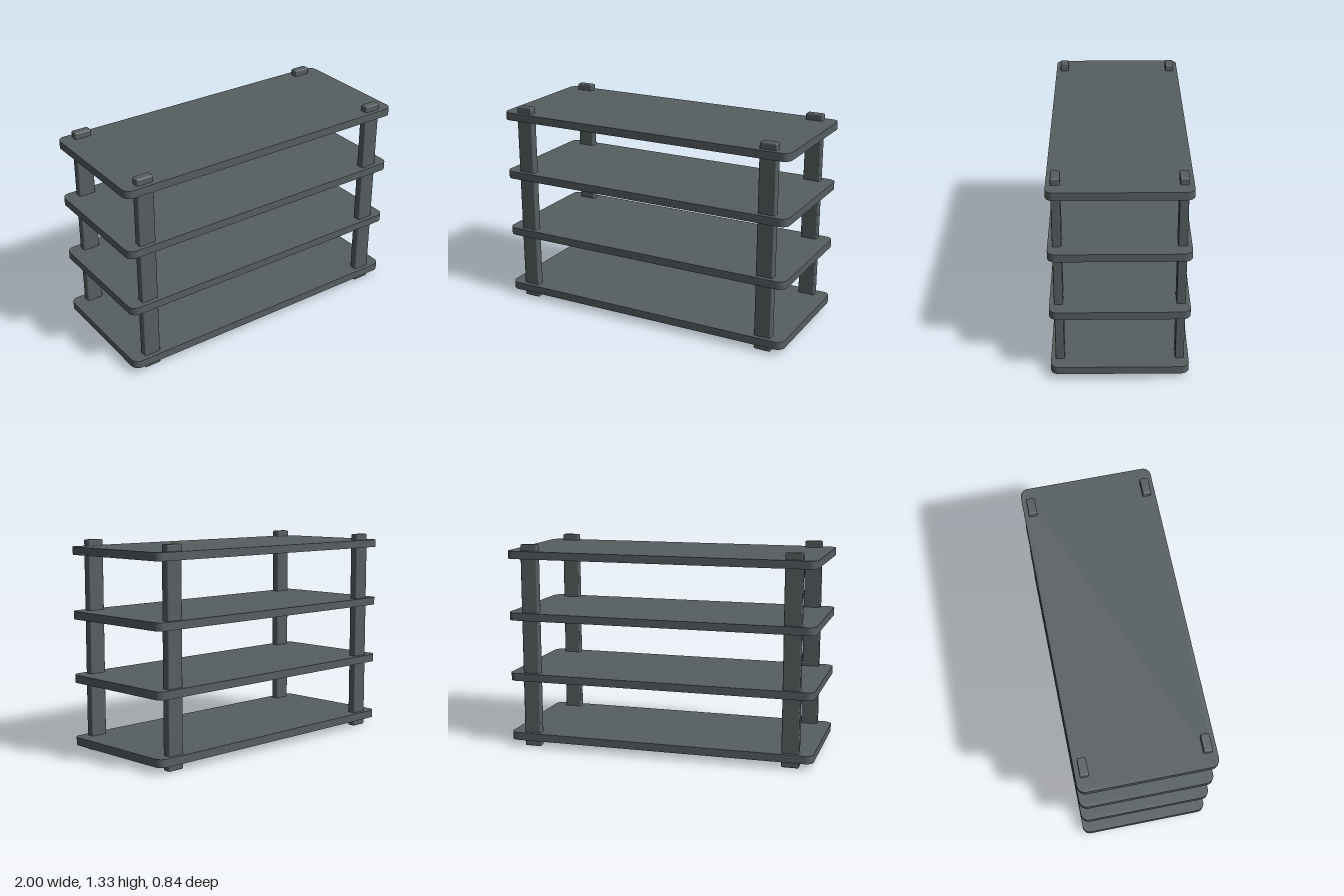
import * as THREE from 'three';
import { RoundedBoxGeometry } from 'three/addons/geometries/RoundedBoxGeometry.js';
import { toCreasedNormals } from 'three/addons/utils/BufferGeometryUtils.js';

const WIDTH = 2, DEPTH = 0.84, THICKNESS = 0.05, CORNER = 0.05;
const POST = { width: 0.11, height: 1.33, depth: 0.054, x: 0.856, z: 0.365 };

// Flat board with rounded corners in plan, its underside at y = 0
function shelfGeometry() {
  const x = WIDTH / 2, z = DEPTH / 2, r = CORNER;
  const outline = new THREE.Shape();
  outline.absarc(x - r, z - r, r, 0, Math.PI / 2);
  outline.absarc(-x + r, z - r, r, Math.PI / 2, Math.PI);
  outline.absarc(-x + r, -z + r, r, Math.PI, Math.PI * 1.5);
  outline.absarc(x - r, -z + r, r, Math.PI * 1.5, Math.PI * 2);
  outline.closePath();
  const board = new THREE.ExtrudeGeometry(outline, {
    depth: THICKNESS, bevelEnabled: false, curveSegments: 8,
  });
  board.rotateX(-Math.PI / 2);
  return toCreasedNormals(board, Math.PI / 6);
}

export function createModel() {
  const model = new THREE.Group();
  model.name = 'shelfUnit';
  const slate = new THREE.MeshStandardMaterial({ color: 0x565e61 });
  slate.name = 'slateGrey';

  // Four evenly spaced shelves
  const board = shelfGeometry();
  for (let i = 0; i < 4; i++) {
    const shelf = new THREE.Mesh(board, slate);
    shelf.name = `shelf${i + 1}`;
    shelf.position.y = 0.042 + i * 0.399;
    model.add(shelf);
  }

  // Four corner posts with softened edges, passing through every shelf
  const postGeometry = new RoundedBoxGeometry(POST.width, POST.height, POST.depth, 2, 0.008);
  for (const [side, sx] of [['Left', 1], ['Right', -1]]) {
    for (const [end, sz] of [['front', 1], ['back', -1]]) {
      const post = new THREE.Mesh(postGeometry, slate);
      post.name = `${end}${side}Post`;
      post.position.set(sx * POST.x, POST.height / 2, sz * POST.z);
      model.add(post);
    }
  }
  return model;
}
